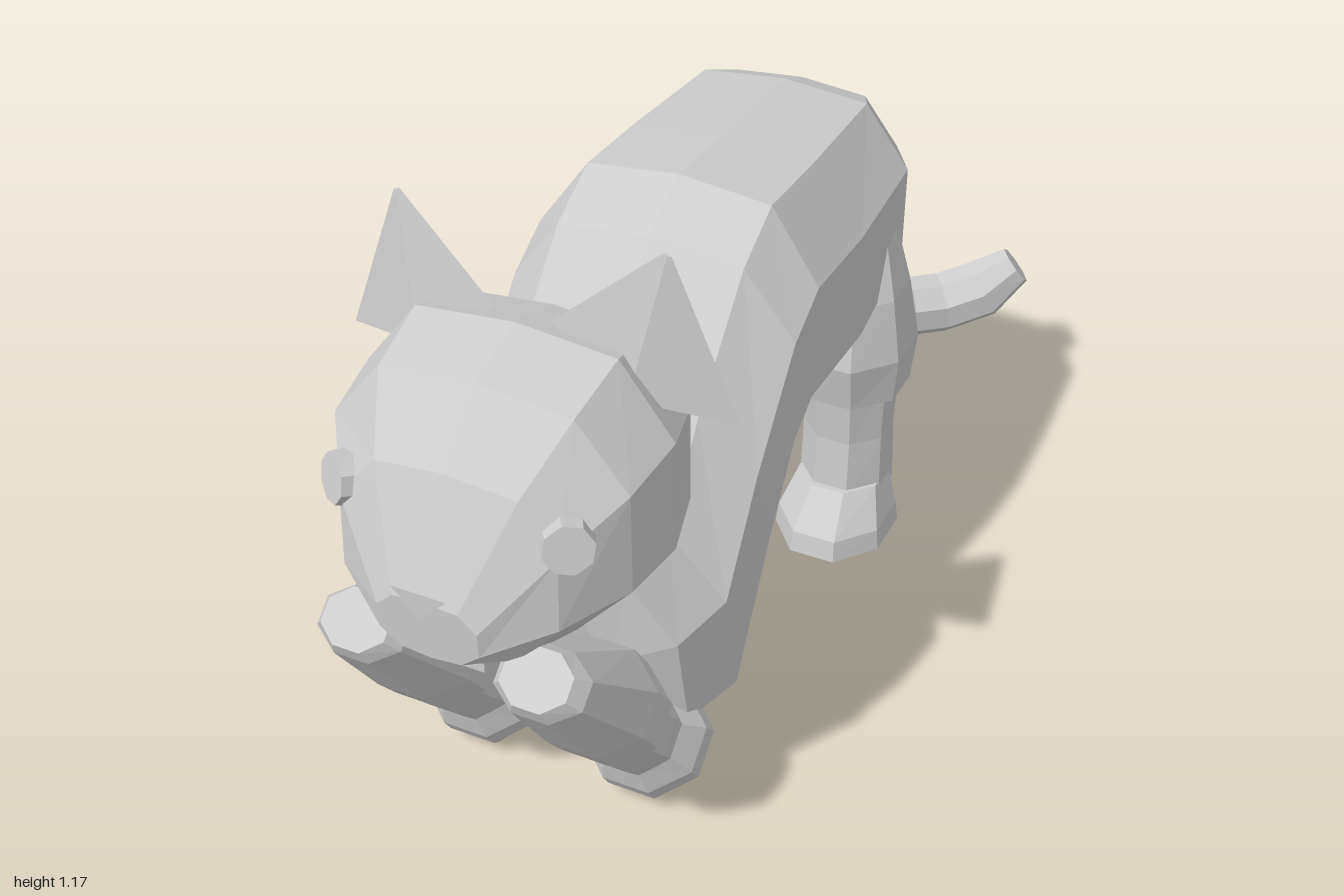
import * as THREE from 'three';

const fur = new THREE.MeshStandardMaterial({ color: 0xcccccc, flatShading: true });
fur.name = 'grey fur';
const V = (x, y, z) => new THREE.Vector3(x, y, z);

// Skin a series of equal rings and close both ends
function loft(rings, name) {
  const pos = [], tri = (a, b, c) => pos.push(a, b, c);
  const n = rings[0].length;
  for (let i = 0; i < rings.length - 1; i++) {
    for (let j = 0; j < n; j++) {
      const k = (j + 1) % n, A = rings[i], B = rings[i + 1];
      tri(A[j], A[k], B[k]);
      tri(A[j], B[k], B[j]);
    }
  }
  const first = rings[0], last = rings[rings.length - 1];
  const mid = r => r.reduce((s, p) => s.add(p), V(0, 0, 0)).divideScalar(n);
  const m0 = mid(first), m1 = mid(last);
  for (let j = 0; j < n; j++) {
    const k = (j + 1) % n;
    tri(m0, first[k], first[j]);
    tri(m1, last[j], last[k]);
  }
  // Turn the faces outward if the rings ran the other way
  let volume = 0;
  for (let i = 0; i < pos.length; i += 3) volume += pos[i].dot(pos[i + 1].clone().cross(pos[i + 2]));
  if (volume < 0) pos.reverse();
  const g = new THREE.BufferGeometry().setFromPoints(pos);
  g.computeVertexNormals();
  const mesh = new THREE.Mesh(g, fur);
  mesh.name = name;
  return mesh;
}

// Rounded ten-sided section between a top and a bottom point
const SECTION = [[0, 1], [0.65, 0.93], [1, 0.42], [1, -0.4], [0.62, -0.9],
  [0, -1], [-0.62, -0.9], [-1, -0.4], [-1, 0.42], [-0.65, 0.93]];
const sectionRing = ([zt, yt, zb, yb, w]) => SECTION.map(([u, v]) => {
  const t = (1 - v) / 2;
  return V(u * w, yt + (yb - yt) * t, zt + (zb - zt) * t);
});

// Eight-sided level ring for the legs
const legRing = ([y, rx, rz, zc = 0]) => Array.from({ length: 8 }, (_, i) => {
  const a = (i + 0.5) * Math.PI / 4;
  return V(rx * Math.cos(a) * 1.08, y, zc + rz * Math.sin(a) * 1.08);
});

function leg(name, upper, lower, paw) {
  const g = new THREE.Group();
  g.name = name;
  g.add(loft(upper.map(legRing), 'upperLeg'), loft(lower.map(legRing), 'lowerLeg'), loft(paw.map(legRing), 'paw'));
  return g;
}

export function createModel() {
  const model = new THREE.Group();
  model.name = 'stretchingCat';
  const cat = new THREE.Group();
  cat.name = 'cat';
  cat.position.x = -0.01;
  model.add(cat);

  // Body, from the rump to the lowered chest: top z, y, bottom z, y, half width
  cat.add(loft([
    [-0.505, 0.86, -0.505, 0.65, 0.13],
    [-0.485, 0.93, -0.465, 0.57, 0.21],
    [-0.40, 0.965, -0.38, 0.49, 0.265],
    [-0.10, 0.985, -0.15, 0.44, 0.28],
    [0.08, 0.995, 0.12, 0.45, 0.28],
    [0.20, 0.93, 0.18, 0.41, 0.28],
    [0.39, 0.73, 0.25, 0.28, 0.28],
    [0.50, 0.56, 0.385, 0.01, 0.275],
    [0.62, 0.53, 0.52, 0.03, 0.24],
    [0.645, 0.43, 0.58, 0.10, 0.13],
  ].map(sectionRing), 'body'));

  // Neck
  cat.add(loft([
    [0.44, 0.64, 0.56, 0.42, 0.17],
    [0.58, 0.72, 0.72, 0.52, 0.15],
  ].map(sectionRing), 'neck'));

  // Head, from the back of the skull to the muzzle
  cat.add(loft([
    [0.50, 0.89, 0.50, 0.61, 0.16],
    [0.545, 0.99, 0.55, 0.545, 0.245],
    [0.67, 1.03, 0.68, 0.525, 0.28],
    [0.80, 0.995, 0.80, 0.54, 0.265],
    [0.90, 0.89, 0.92, 0.56, 0.195],
    [0.985, 0.70, 0.98, 0.585, 0.09],
  ].map(sectionRing), 'head'));

  // Nose
  const noseRing = z => [V(-0.05, 0.73, z), V(0.05, 0.73, z), V(0, 0.68, z)];
  cat.add(loft([noseRing(0.93), noseRing(1.0)], 'nose'));

  // Chin
  const chin = new THREE.Mesh(new THREE.BoxGeometry(0.13, 0.03, 0.12), fur);
  chin.name = 'chin';
  chin.position.set(0, 0.552, 0.87);
  cat.add(chin);

  for (const s of [1, -1]) {
    const side = s > 0 ? 'left' : 'right';

    // Eyes
    const eye = new THREE.Mesh(new THREE.CylinderGeometry(0.043, 0.047, 0.04, 8), fur);
    eye.name = side + 'Eye';
    eye.position.set(s * 0.2, 0.81, 0.885);
    eye.quaternion.setFromUnitVectors(V(0, 1, 0), V(s * 0.55, 0.2, 0.8).normalize());
    cat.add(eye);

    // Ears: four-sided pyramids with slightly blunt tips
    const base = [V(s * 0.355, 0.89, 0.595), V(s * 0.19, 0.93, 0.66), V(s * 0.05, 1.03, 0.645), V(s * 0.19, 0.98, 0.56)];
    const tip = V(s * 0.24, 1.19, 0.61);
    cat.add(loft([base, base.map(p => p.clone().lerp(tip, 0.96))], side + 'Ear'));

    // Hind legs
    const hind = leg(side + 'HindLeg',
      [[0.79, 0.05, 0.05, -0.02], [0.61, 0.10, 0.11], [0.48, 0.12, 0.135], [0.38, 0.11, 0.115]],
      [[0.40, 0.09, 0.095], [0.27, 0.085, 0.085], [0.13, 0.088, 0.095]],
      [[0.16, 0.085, 0.09, 0.015], [0.085, 0.11, 0.13, 0.045], [0.04, 0.115, 0.138, 0.045]]);
    hind.position.set(s * 0.2, 0, -0.305);
    cat.add(hind);

    // Front legs, folded forward under the chin
    const front = leg(side + 'FrontLeg',
      [[0.27, 0.085, 0.075], [0.315, 0.112, 0.092, -0.01], [0.40, 0.112, 0.095, -0.015], [0.62, 0.08, 0.06], [0.65, 0.06, 0.05]],
      [[0.32, 0.085, 0.08], [0.20, 0.088, 0.08], [0.08, 0.075, 0.075]],
      [[0, 0.085, 0.098], [0.05, 0.112, 0.105], [0.09, 0.11, 0.10], [0.15, 0.08, 0.07]]);
    front.position.set(s * 0.165, 0.075, 0.52);
    front.rotation.x = 0.703;
    cat.add(front);
  }

  // Tail, sweeping back and to the left
  const curve = new THREE.CatmullRomCurve3([
    V(-0.01, 0.46, -0.41), V(0, 0.37, -0.55), V(0.06, 0.28, -0.70),
    V(0.17, 0.235, -0.83), V(0.27, 0.26, -0.90), V(0.345, 0.325, -0.945),
  ]);
  const steps = 8, frames = curve.computeFrenetFrames(steps);
  const tailRing = (i, r) => Array.from({ length: 8 }, (_, j) => {
    const a = j * Math.PI / 4;
    return curve.getPointAt(i / steps)
      .addScaledVector(frames.normals[i], r * Math.cos(a))
      .addScaledVector(frames.binormals[i], r * Math.sin(a));
  });
  const rings = Array.from({ length: steps + 1 }, (_, i) => tailRing(i, i === steps ? 0.045 : 0.068));
  cat.add(loft(rings, 'tail'));

  return model;
}
